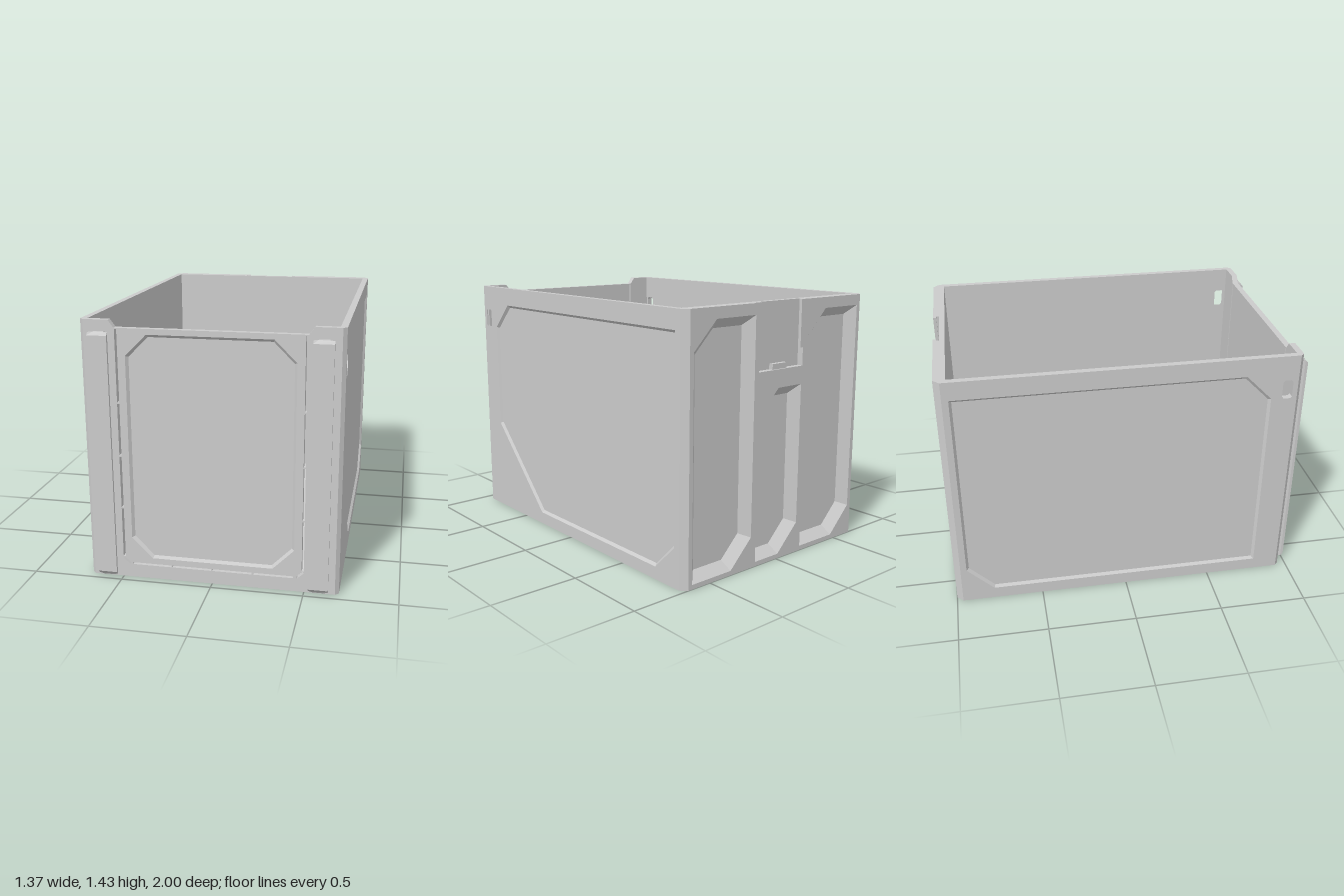
import * as THREE from 'three';

const H = 1.43, X = 0.685, FRONT = 0.955, BACK = -1;
const mat = new THREE.MeshStandardMaterial({ color: 0xcccccc, flatShading: true });
const thin = new THREE.MeshStandardMaterial({ color: 0xcccccc, flatShading: true, side: THREE.DoubleSide });

const vec = pts => pts.map(([x, y]) => new THREE.Vector2(x, y));

// Rectangle with optional cut corners: bottom-left, bottom-right, top-right, top-left
function cutRect(x0, y0, x1, y1, [bl, br, tr, tl] = [0, 0, 0, 0]) {
  const p = [];
  const corner = (c, a, b) => (c ? p.push(a, b) : p.push(a));
  corner(bl, [x0, y0 + bl], [x0 + bl, y0]);
  corner(br, [x1 - br, y0], [x1, y0 + br]);
  corner(tr, [x1, y1 - tr], [x1 - tr, y1]);
  corner(tl, [x0 + tl, y1], [x0, y1 - tl]);
  return p;
}

// Move every edge of a polygon inwards by d (outwards if negative)
function inset(pts, d) {
  const v = vec(pts), n = v.length, s = Math.sign(THREE.ShapeUtils.area(v));
  const normal = (a, b) => new THREE.Vector2(a.y - b.y, b.x - a.x).normalize().multiplyScalar(s);
  return v.map((p, i) => {
    const n1 = normal(v[(i + n - 1) % n], p), n2 = normal(p, v[(i + 1) % n]);
    const m = n1.clone().add(n2).multiplyScalar(d / (1 + n1.dot(n2)));
    return [p.x + m.x, p.y + m.y];
  });
}

function mesh(name, geo, material = mat) {
  const m = new THREE.Mesh(geo, material);
  m.name = name;
  return m;
}

// Flat plate between two depths, with holes
function plate(name, outline, holes, z0, z1) {
  const shape = new THREE.Shape(vec(outline));
  shape.holes = holes.map(h => new THREE.Path(vec(h)));
  const geo = new THREE.ExtrudeGeometry(shape, { depth: z1 - z0, bevelEnabled: false });
  return mesh(name, geo.translate(0, 0, z0));
}

// Sloping band joining two polygons with equal corner counts
function band(name, a, za, b, zb) {
  const pos = [];
  a.forEach((p, i) => {
    const j = (i + 1) % a.length;
    const A = [...p, za], B = [...a[j], za], C = [...b[j], zb], D = [...b[i], zb];
    pos.push(...A, ...B, ...C, ...A, ...C, ...D);
  });
  const geo = new THREE.BufferGeometry();
  geo.setAttribute('position', new THREE.Float32BufferAttribute(pos, 3));
  geo.computeVertexNormals();
  return mesh(name, geo, thin);
}

// Wall facing local +z: a skin with bevelled recesses over a backing plate
function wall(name, outline, { skinOutline = outline, holes = [], recesses = [], skin, bevel, thick, open = false }) {
  const g = new THREE.Group();
  g.name = name;
  const inner = recesses.map(r => inset(r, bevel));
  g.add(plate(name + 'Skin', skinOutline, [...holes, ...recesses], -skin, 0));
  recesses.forEach((r, i) => g.add(band(name + 'Bevel', r, 0, inner[i], -skin)));
  if (thick > skin) g.add(plate(name + 'Backing', outline, [...holes, ...(open ? inner : [])], -thick, -skin));
  return g;
}

const circle = (x, y, r, n = 20) =>
  Array.from({ length: n }, (_, i) => [x + r * Math.cos(i / n * 2 * Math.PI), y + r * Math.sin(i / n * 2 * Math.PI)]);

// Cross-shaped fan opening that leaves rounded screw pads in its corners
function fanHole(cx, cy) {
  const q = [[0.345, 0.11], [0.305, 0.15]];
  for (let i = 0; i <= 6; i++) {
    const a = -Math.PI / 2 - i / 6 * Math.PI / 2;
    q.push([0.24 + 0.09 * Math.cos(a), 0.24 + 0.09 * Math.sin(a)]);
  }
  q.push([0.15, 0.3], [0.11, 0.345]);
  const pts = [];
  for (let k = 0; k < 4; k++) {
    const c = [1, 0, -1, 0][k], s = [0, 1, 0, -1][k];
    q.forEach(([x, y]) => pts.push([cx + c * x - s * y, cy + s * x + c * y]));
  }
  return pts;
}

export function createModel() {
  const model = new THREE.Group();
  model.name = 'openCase';

  // Front wall: lowered top edge, octagonal recess, perforated seam around the knock-out panel
  const slots = [];
  for (const s of [-1, 1]) {
    for (const [a, b] of [[0.12, 0.4], [0.408, 0.695], [0.703, 0.987], [0.995, 1.383]])
      slots.push(cutRect(s * 0.492 - 0.006, a, s * 0.492 + 0.006, b));
    slots.push([[s * 0.498, 0.108], [s * 0.462, 0.075], [s * 0.455, 0.084], [s * 0.49, 0.116]]);
  }
  for (let i = 0; i < 4; i++) slots.push(cutRect(-0.445 + i * 0.223, 0.075, -0.228 + i * 0.223, 0.086));
  const front = wall('frontWall',
    [[-0.665, 0], [0.665, 0], [0.665, H], [0.53, H], [0.5, 1.39], [-0.5, 1.39], [-0.53, H], [-0.665, H]],
    { holes: slots, recesses: [cutRect(-0.445, 0.12, 0.445, 1.36, [0.115, 0.115, 0.115, 0.115])], skin: 0.014, bevel: 0.014, thick: 0.035 });
  front.position.z = FRONT;
  model.add(front);

  // Side walls: shallow panel recess and a small through window near the front
  for (const s of [-1, 1]) {
    const flip = pts => pts.map(([z, y]) => [-s * z, y]);
    const panel = cutRect(-0.93, 0.07, 0.79, 1.325, [0.15, 0, 0.145, 0]);
    if (s > 0) panel.splice(2, 1, [0.315, 0.07], [0.79, 0.555]);
    const side = wall(s > 0 ? 'leftWall' : 'rightWall', flip(cutRect(-0.965, 0, 0.935, H)), {
      holes: [flip(cutRect(0.85, 1.175, 0.907, 1.285, [0.01, 0.01, 0.01, 0.01]))],
      recesses: [flip(panel)], skin: 0.014, bevel: 0.014, thick: 0.035 });
    side.rotation.y = s * Math.PI / 2;
    side.position.x = s * X;
    model.add(side);
  }

  // Back wall: three bevelled pockets and a latch recess open at the top (local x is mirrored)
  const pocket = (x0, x1, top) => cutRect(x0, 0.025, x1, top, [0, 0.15, 0, 0.15]);
  const back = wall('backWall', cutRect(-0.65, 0, 0.65, H), {
    skinOutline: [[-0.65, 0], [0.65, 0], [0.65, H], [0.17, H], [0.17, 1.07], [-0.17, 1.07], [-0.17, H], [-0.65, H]],
    recesses: [pocket(-0.625, -0.2, 1.37), pocket(-0.165, 0.165, 0.97), pocket(0.2, 0.625, 1.37)],
    skin: 0.052, bevel: 0.052, thick: 0.065 });
  back.add(plate('latchFloor', cutRect(-0.17, 1.07, 0.17, H), [], -0.052, -0.035));
  back.add(plate('latchCatch', cutRect(-0.055, 1.07, 0.055, 1.1), [], -0.035, -0.01));
  for (const s of [-1, 1])
    back.add(plate('latchGuide', cutRect(s * 0.16 - 0.01, 1.17, s * 0.16 + 0.01, H), [], -0.018, 0));
  back.rotation.y = Math.PI;
  back.position.z = BACK;
  model.add(back);

  // Chamfered corner posts
  for (const s of [-1, 1]) {
    const plans = {
      frontCorner: [[0.65, 0.92], [X, 0.92], [X, 0.935], [0.665, FRONT], [0.65, FRONT]],
      backCorner: [[0.65, -0.935], [X, -0.935], [X, -0.965], [0.65, BACK], [0.64, BACK], [0.64, -0.935]],
    };
    for (const [name, plan] of Object.entries(plans)) {
      const post = plate(name, plan.map(([x, z]) => [s * x, -z]), [], 0, H);
      post.rotation.x = -Math.PI / 2;
      model.add(post);
    }
  }

  // Floor with two fan openings, chamfered underneath, and screw holes
  const cx = -0.195, fans = [-0.39, 0.377], screws = [];
  for (const cz of fans) for (const a of [-0.24, 0.24]) for (const b of [-0.24, 0.24]) screws.push([cx + a, cz + b]);
  const floor = wall('floor', cutRect(-0.66, -0.945, 0.66, 0.93), {
    holes: screws.map(([x, z]) => circle(x, z, 0.02)),
    recesses: fans.map(cz => inset(fanHole(cx, cz), -0.018)), skin: 0.018, bevel: 0.018, thick: 0.035, open: true });
  floor.rotation.x = Math.PI / 2;
  model.add(floor);
  for (const [x, z] of screws) {
    const ring = plate('screwSeat', circle(x, -z, 0.058), [circle(x, -z, 0.02)], 0.035, 0.039);
    ring.rotation.x = -Math.PI / 2;
    model.add(ring);
  }

  // Raised floor frame with sloping skirt around two fan bays and one long pinched bay
  const r = [0.035, 0.035, 0.035, 0.035];
  const longBay = cutRect(0.205, -0.755, 0.56, 0.765, r);
  longBay.splice(4, 0, [0.56, -0.035], [0.52, -0.01], [0.52, 0.035], [0.56, 0.06]);
  longBay.push([0.205, 0.06], [0.245, 0.035], [0.245, -0.01], [0.205, -0.035]);
  const top = cutRect(-0.585, -0.77, 0.585, 0.79);
  const frame = wall('floorFrame', top, {
    recesses: [cutRect(-0.565, 0.015, 0.175, 0.765, r), cutRect(-0.565, -0.755, 0.175, -0.005, r), longBay],
    skin: 0.06, bevel: 0.025, thick: 0.06 });
  frame.add(band('frameSkirt', top, 0, cutRect(-0.645, -0.84, 0.645, 0.85), -0.06));
  frame.rotation.x = -Math.PI / 2;
  frame.position.y = 0.095;
  model.add(frame);

  // Dovetail rails on the front, sloped off at the foot
  for (const s of [-1, 1]) {
    const half = [[0.028, 0.95], [0.03, 0.97], [0.053, 0.985], [0.053, 1]];
    const plan = [...half.map(([x, z]) => [x, -z]), ...half.reverse().map(([x, z]) => [-x, -z])];
    const rail = plate('frontRail', plan, [], 0, 1.37);
    rail.geometry.rotateX(-Math.PI / 2);
    const p = rail.geometry.attributes.position;
    for (let i = 0; i < p.count; i++) {
      const z = p.getZ(i);
      p.setY(i, p.getY(i) < 0.01 ? Math.max(0, z - 0.96) : 1.37 - Math.max(0, z - 0.985));
    }
    rail.geometry.computeVertexNormals();
    rail.position.x = s * 0.578;
    model.add(rail);
  }
  return model;
}
